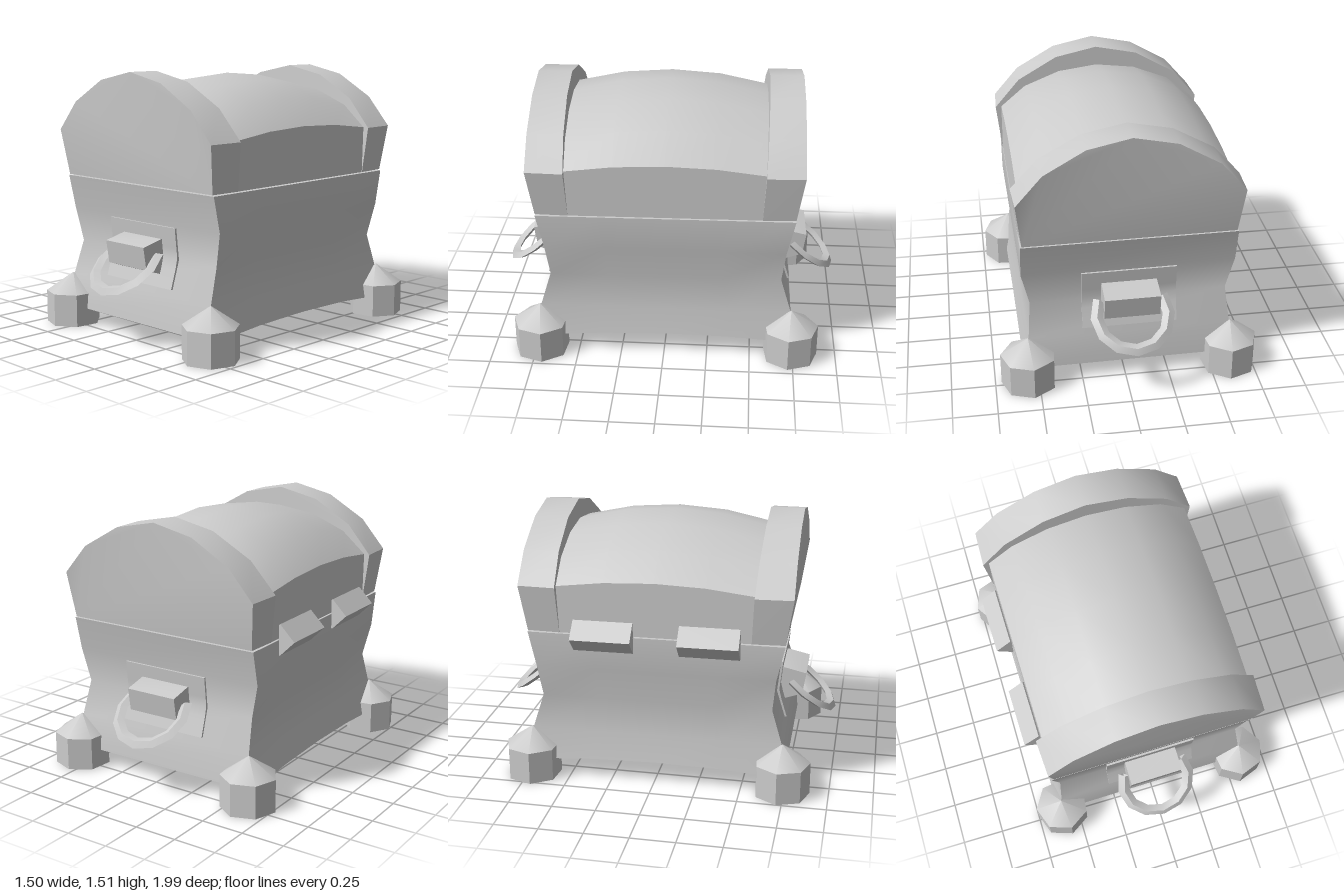
import * as THREE from 'three';
import { toCreasedNormals } from 'three/addons/utils/BufferGeometryUtils.js';

const material = new THREE.MeshStandardMaterial({ color: 0xcccccc });
const openMaterial = new THREE.MeshStandardMaterial({ color: 0xcccccc, side: THREE.DoubleSide });

function addMesh(parent, name, geometry, mat = material) {
  const mesh = new THREE.Mesh(toCreasedNormals(geometry, 0.6), mat);
  mesh.name = name;
  parent.add(mesh);
  return mesh;
}

// Move every vertex of a geometry by a rule
function warp(geometry, rule) {
  const p = geometry.attributes.position;
  const v = new THREE.Vector3();
  for (let i = 0; i < p.count; i++) {
    rule(v.fromBufferAttribute(p, i));
    p.setXYZ(i, v.x, v.y, v.z);
  }
  return geometry;
}

const shapeOf = (pts) => new THREE.Shape(pts.map(([x, y]) => new THREE.Vector2(x, y)));

// Closed symmetric outline from its right half (bottom to top centre)
const mirrored = (half) =>
  shapeOf([...half, ...half.slice(0, -1).reverse().map(([x, y]) => [-x, y])]);

// Waisted body: height, half width, half depth
const levels = [
  [0.1, 0.61, 0.74],
  [0.29, 0.578, 0.722],
  [0.49, 0.56, 0.66],
  [0.685, 0.605, 0.68],
  [0.886, 0.605, 0.725],
];

function depthAt(y) {
  let i = 0;
  while (i < levels.length - 2 && y > levels[i + 1][0]) i++;
  const t = (y - levels[i][0]) / (levels[i + 1][0] - levels[i][0]);
  return THREE.MathUtils.lerp(levels[i][2], levels[i + 1][2], t);
}

function makeBody(chest) {
  const geo = warp(new THREE.BoxGeometry(1, 1, 1, 1, 4, 4), (v) => {
    const level = Math.round((v.y + 0.5) * 4);
    const [y, hx, hz] = levels[level];
    const bow = level === 0 ? 0.035 * (1 - 4 * v.z * v.z) : 0; // hollowed underside
    v.set(v.x * 2 * hx, y + bow, v.z * 2 * hz);
  });
  addMesh(chest, 'body', geo);
}

function makeLid(chest) {
  const lid = new THREE.Group();
  lid.name = 'lid';
  chest.add(lid);

  // Barrel top between the bands, bulging towards the middle
  const barrel = mirrored([[0.603, 0.893], [0.6, 1.16], [0.45, 1.285], [0.235, 1.37], [0, 1.4]]);
  const barrelGeo = new THREE.ExtrudeGeometry(barrel, { depth: 1.14, steps: 4, bevelEnabled: false });
  barrelGeo.translate(0, 0, -0.57);
  warp(barrelGeo, (v) => {
    v.y += 0.17 * (v.y - 0.893) * (1 - (v.z / 0.57) ** 2);
  });
  addMesh(lid, 'barrelTop', barrelGeo);

  // Raised end bands, narrowing slightly at the seam
  const band = mirrored([[0.605, 0.893], [0.635, 1.16], [0.485, 1.33], [0.25, 1.463], [0, 1.515]]);
  for (const side of [1, -1]) {
    const geo = new THREE.ExtrudeGeometry(band, { depth: 1, bevelEnabled: false });
    warp(geo, (v) => {
      const t = Math.min(1, (v.y - 0.893) / 0.267);
      const outer = 0.725 + 0.04 * t;
      const inner = 0.54 + 0.03 * ((v.y - 0.893) / 0.622);
      const isOuter = v.z > 0.5 === side > 0;
      v.z = side * (isOuter ? outer : inner);
      if (isOuter) v.x *= 0.985;
    });
    addMesh(lid, 'lidBand', geo);
  }
}

function makeHandle(chest, turn) {
  const handle = new THREE.Group();
  handle.name = 'handle';
  handle.rotation.y = turn;
  chest.add(handle);

  // Backing plate hugging the curved wall
  const plate = warp(new THREE.BoxGeometry(0.54, 0.34, 1, 1, 6, 1), (v) => {
    v.y += 0.5;
    v.z = depthAt(v.y) + (v.z > 0 ? 0.012 : -0.03);
  });
  addMesh(handle, 'handlePlate', plate);

  // Wedge-shaped bracket, profile drawn as depth and height
  const profile = shapeOf([
    [0.6, 0.4], [0.7, 0.4], [0.8, 0.435], [0.82, 0.565], [0.69, 0.595], [0.6, 0.595],
  ]);
  const bracket = new THREE.ExtrudeGeometry(profile, { depth: 0.315, bevelEnabled: false });
  bracket.rotateY(-Math.PI / 2).translate(0.157, 0, 0);
  addMesh(handle, 'handleBracket', bracket);

  // Flattened ring hanging outwards
  const arc = THREE.MathUtils.degToRad(236);
  const ring = new THREE.TorusGeometry(0.203, 0.035, 4, 8, arc);
  ring.rotateZ(Math.PI * 1.5 - arc / 2).scale(1, 1, 0.6);
  ring.rotateX(-0.89).translate(0, 0.453, 0.81);
  addMesh(handle, 'handleRing', ring, openMaterial);
}

export function createModel() {
  const root = new THREE.Group();
  const chest = new THREE.Group();
  chest.name = 'chest';
  chest.position.x = -0.018;
  chest.rotation.y = 0.0125;
  root.add(chest);

  makeBody(chest);
  makeLid(chest);
  makeHandle(chest, 0);
  makeHandle(chest, Math.PI);

  // Stubby pointed corner feet
  const footProfile = [[0, 0], [0.16, 0], [0.16, 0.19], [0, 0.3]].map(([x, y]) => new THREE.Vector2(x, y));
  for (const sx of [1, -1]) {
    for (const sz of [1, -1]) {
      const foot = addMesh(chest, 'foot', new THREE.LatheGeometry(footProfile, 7));
      foot.position.set(sx * 0.583, 0, sz * 0.727);
      foot.rotation.y = Math.atan2(sx, sz);
    }
  }

  // Diamond-section hinges along the right side seam
  for (const z of [-0.29, 0.31]) {
    const geo = new THREE.CylinderGeometry(0.09, 0.09, 0.34, 4).rotateX(Math.PI / 2);
    addMesh(chest, 'hinge', geo).position.set(-0.61, 0.885, z);
  }
  return root;
}
